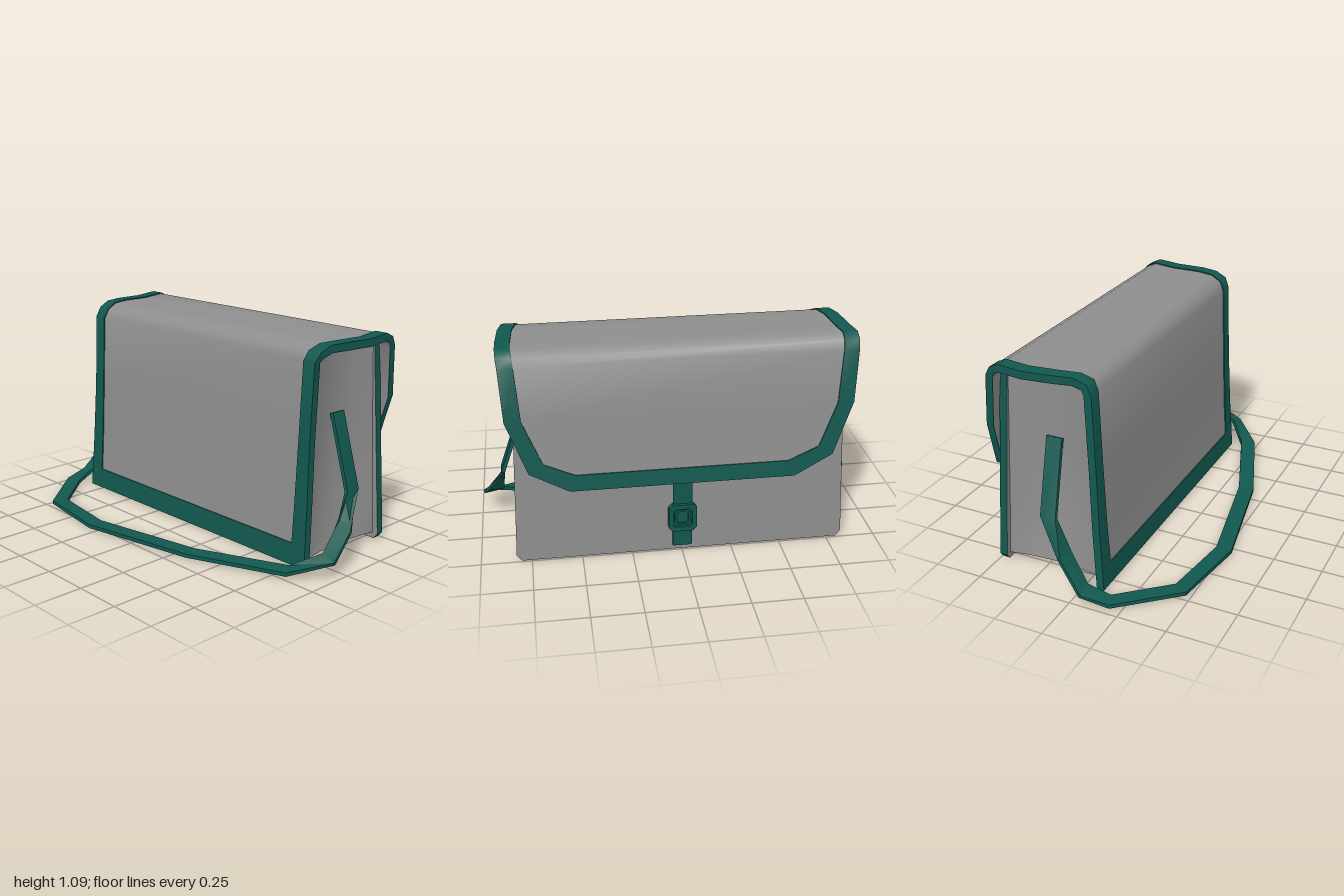
import * as THREE from 'three';
import { toCreasedNormals } from 'three/addons/utils/BufferGeometryUtils.js';

const canvas = new THREE.MeshStandardMaterial({ color: 0x8e8e8e, side: THREE.DoubleSide });
canvas.name = 'grey canvas';
const trim = new THREE.MeshStandardMaterial({ color: 0x11584f, side: THREE.DoubleSide });
trim.name = 'teal trim';

const V = (x, y, z) => new THREE.Vector3(x, y, z);

// Skin a grid of points; optionally close it along either direction
function loft(rows, closeRows = false, closeCols = false, crease = 0.7) {
  const n = rows.length, m = rows[0].length, index = [];
  for (let i = 0; i < (closeRows ? n : n - 1); i++) {
    for (let j = 0; j < (closeCols ? m : m - 1); j++) {
      const k = (i + 1) % n, l = (j + 1) % m;
      const a = i * m + j, b = i * m + l, c = k * m + l, d = k * m + j;
      index.push(a, b, c, a, c, d);
    }
  }
  const g = new THREE.BufferGeometry();
  g.setAttribute('position', new THREE.Float32BufferAttribute(rows.flat().flatMap(p => p.toArray()), 3));
  g.setIndex(index);
  return toCreasedNormals(g, crease);
}

// Side profile, front bottom edge over the top to the flap edge:
// z, y, outer half width, inner half width, x shift, [inner z, inner y]
const PROFILE = [
  [0.105, 0, 0.835, 0.745, -0.015, 0.098, 0.11],
  [0.085, 0.3, 0.825, 0.745, -0.015],
  [0.07, 0.62, 0.815, 0.745, -0.013],
  [0.055, 1.0, 0.815, 0.745, -0.01],
  [0.03, 1.05, 0.82, 0.745, 0],
  [-0.03, 1.077, 0.83, 0.76, 0],
  [-0.12, 1.08, 0.85, 0.78, 0],
  [-0.28, 1.077, 0.862, 0.79, 0],
  [-0.40, 1.088, 0.862, 0.79, 0],
  [-0.45, 1.065, 0.86, 0.785, 0],
  [-0.475, 1.02, 0.855, 0.78, 0],
  [-0.50, 0.76, 0.84, 0.76, 0],
  [-0.533, 0.5, 0.74, 0.67, 0, -0.528, 0.545],
  [-0.545, 0.4, 0.55, 0.52, 0, -0.535, 0.48],
].map(([z, y, wo, wi, s, zi = z, yi = y]) => ({ z, y, wo, wi, s, zi, yi }));

PROFILE.forEach((p, i) => {
  const a = PROFILE[Math.max(i - 1, 0)], b = PROFILE[Math.min(i + 1, PROFILE.length - 1)];
  p.n = V(0, a.z - b.z, b.y - a.y).normalize();
});

// Point on the cover: side +1/-1, outer or inner edge, sunk by depth
function coverPoint(p, side, outer, depth) {
  const v = outer ? V(p.s + side * p.wo, p.y, p.z) : V(p.s + side * p.wi, p.yi, p.zi);
  return v.addScaledVector(p.n, -depth);
}

// Binding that runs around the whole cover
function bindingGeometry() {
  const ring = (p, s) => [
    coverPoint(p, s, false, 0), coverPoint(p, s, true, 0),
    coverPoint(p, s, true, 0.038), coverPoint(p, s, false, 0.038),
  ];
  const rings = PROFILE.map(p => ring(p, 1)).concat([...PROFILE].reverse().map(p => ring(p, -1)));
  return loft(rings, true, true);
}

// Canvas sheet spanning the cover from side to side
function sheetGeometry(rows, outer, depth) {
  return loft(rows.map(p => [-1, 1].map(s => coverPoint(p, s, outer, depth))), false, false, 1);
}

// Folded side walls and floor as one strip: right wall, floor, left wall
function gussetGeometry() {
  const levels = [
    // y at front, y at back, z front, z back, edge x, fold x
    [1.0, 1.025, 0.017, -0.41, 0.785, 0.735],
    [0.65, 0.65, 0.035, -0.425, 0.785, 0.725],
    [0.28, 0.28, 0.05, -0.445, 0.79, 0.715],
    [0.03, 0.03, 0.065, -0.458, 0.795, 0.765],
  ];
  const row = ([yf, yb, zf, zb, xe, xf], side) => [0, 0.25, 0.5, 0.75, 1].map(t => {
    const fold = Math.sin(t * Math.PI);
    return V(side * (xe + (xf - xe) * fold), yb + (yf - yb) * t, zb + (zf - zb) * t);
  });
  const rows = levels.map(l => row(l, 1)).concat([...levels].reverse().map(l => row(l, -1)));
  return loft(rows, false, false, 0.8);
}

// Back wall under the flap: canvas faces with trim edges
function backWallGeometry() {
  const s = new THREE.Shape();
  [[-0.80, 0], [0.80, 0], [0.825, 0.03], [0.79, 1.035], [-0.79, 1.035], [-0.825, 0.03]]
    .forEach(([x, y], i) => (i ? s.lineTo(x, y) : s.moveTo(x, y)));
  return new THREE.ExtrudeGeometry(s, { depth: 0.04, bevelEnabled: false });
}

// Shoulder strap: x, y, z and width direction at each bend
function strapGeometry() {
  const path = [
    [0.745, 0.715, -0.19, 0, 0, -1],
    [0.87, 0.35, -0.17, 0, 0, -1],
    [0.915, 0.18, -0.06, 0.9, 0.1, -0.3],
    [0.95, 0.09, 0.08, 1, -0.25, 0.1],
    [0.81, 0.025, 0.21, 0.5, -0.05, 0.86],
    [0.32, 0.012, 0.385, 0.22, 0, 0.97],
    [-0.3, 0.012, 0.5, 0.04, 0, 1],
    [-0.7, 0.012, 0.44, -0.5, 0, 0.86],
    [-0.93, 0.014, 0.18, -0.92, 0, 0.35],
    [-0.95, 0.05, 0.05, -1, -0.2, 0],
    [-0.915, 0.18, -0.06, -0.9, 0.1, -0.3],
    [-0.87, 0.35, -0.17, 0, 0, -1],
    [-0.745, 0.715, -0.19, 0, 0, -1],
  ];
  const pts = path.map(p => V(p[0], p[1], p[2]));
  const rings = path.map((p, i) => {
    const t = pts[Math.min(i + 1, pts.length - 1)].clone().sub(pts[Math.max(i - 1, 0)]).normalize();
    const w = V(p[3], p[4], p[5]).normalize();
    const n = t.cross(w).normalize().multiplyScalar(0.01);
    w.multiplyScalar(0.041);
    return [[1, 1], [-1, 1], [-1, -1], [1, -1]].map(([a, b]) =>
      pts[i].clone().addScaledVector(w, a).addScaledVector(n, b));
  });
  return loft(rings, false, true, 0.6);
}

// Outline of a rectangle with cut corners
function cutRect(target, w, h, c) {
  [[-w + c, -h], [w - c, -h], [w, -h + c], [w, h - c], [w - c, h], [-w + c, h], [-w, h - c], [-w, -h + c]]
    .forEach(([x, y], i) => (i ? target.lineTo(x, y) : target.moveTo(x, y)));
  target.closePath();
  return target;
}

function frameGeometry(w, h, band, depth) {
  const s = cutRect(new THREE.Shape(), w, h, 0.02);
  s.holes.push(cutRect(new THREE.Path(), w - band, h - band, 0.01));
  return new THREE.ExtrudeGeometry(s, { depth, bevelEnabled: false });
}

export function createModel() {
  const bag = new THREE.Group();
  bag.name = 'shoulderBag';
  const add = (name, geometry, material, x = 0, y = 0, z = 0) => {
    const mesh = new THREE.Mesh(geometry, material);
    mesh.name = name;
    mesh.position.set(x, y, z);
    bag.add(mesh);
    return mesh;
  };

  // Cover: front panel, top and flap in one piece
  add('coverBinding', bindingGeometry(), trim);
  add('coverPanel', sheetGeometry(PROFILE, false, 0.006), canvas);
  add('flapLining', sheetGeometry(PROFILE.slice(4), true, 0.04), canvas);

  // Body
  add('gussetAndFloor', gussetGeometry(), canvas);
  add('backWall', backWallGeometry(), [canvas, trim], 0, 0, -0.495).rotation.x = 0.053;

  // Closing strap and buckle below the flap
  add('closingStrap', new THREE.BoxGeometry(0.095, 0.41, 0.012), trim, 0, 0.235, -0.508);
  add('buckleFrame', frameGeometry(0.07, 0.074, 0.024, 0.03), trim, 0, 0.195, -0.53);
  add('buckleBar', frameGeometry(0.04, 0.044, 0.012, 0.015), trim, 0, 0.195, -0.524);

  // Shoulder strap resting on the ground
  add('shoulderStrap', strapGeometry(), trim);
  return bag;
}
